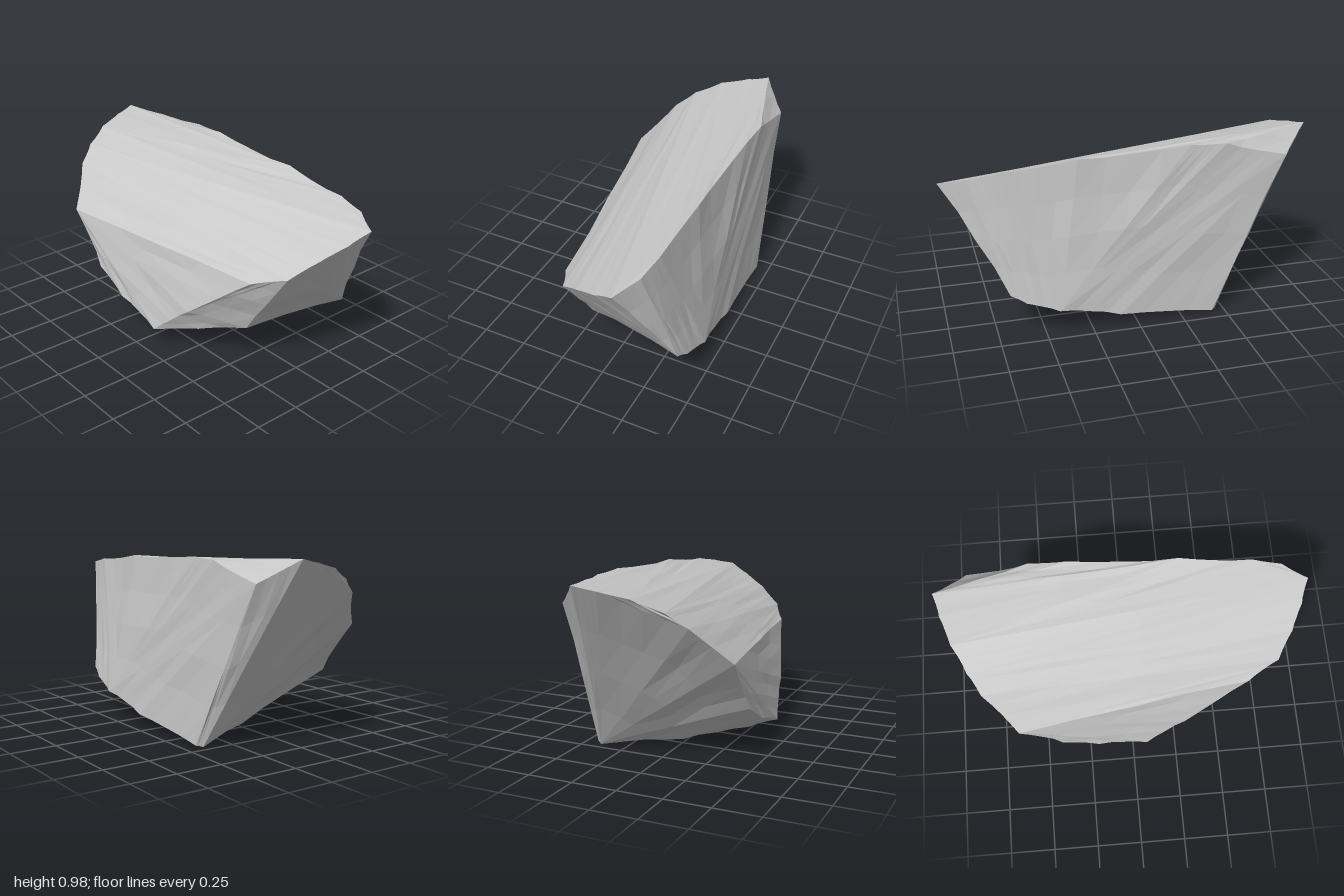
import * as THREE from 'three';
import { ConvexGeometry } from 'three/addons/geometries/ConvexGeometry.js';

// Corner points of the stone shard, grouped by the edge they follow
const edges = {
  leftRim: [[-1, 0.985, -0.22], [-0.97, 0.96, -0.1], [-0.92, 0.925, 0.05], [-0.85, 0.86, 0.19], [-0.79, 0.78, 0.29], [-0.62, 0.585, 0.455]],
  rightRim: [[1, 0.825, -0.22], [0.96, 0.765, -0.1], [0.9, 0.7, 0.03], [0.82, 0.61, 0.16], [0.65, 0.55, 0.25], [0.3, 0.28, 0.375]],
  topBack: [[0.86, 0.86, -0.3], [0.7, 0.888, -0.325], [0.3, 0.932, -0.345], [-0.3, 0.96, -0.36], [-0.5, 0.955, -0.367], [-0.84, 0.865, -0.368]],
  bottomBack: [[0.68, 0.24, -0.41], [0.6, 0.195, -0.43], [0.43, 0.14, -0.457], [0.1, 0.07, -0.45], [-0.43, 0.01, -0.43], [-0.455, 0.004, -0.4]],
  frontFoot: [[0.08, 0.098, 0.435], [-0.2, 0.19, 0.447], [-0.4, 0.3, 0.45], [-0.02, 0.066, 0.3], [-0.25, 0.024, 0]],
  rightFoot: [[0.54, 0.215, 0.17], [0.3, 0.15, 0.3]],
};

// Repeatable noise from a position, so shared corners stay joined
function noise(v) {
  const s = Math.sin(v.x * 127.1 + v.y * 311.7 + v.z * 74.7) * 43758.5453;
  return s - Math.floor(s);
}

// Split every triangle in four, pushing the new corners slightly inward
function chip(triangles, depth) {
  const centre = new THREE.Vector3(0, 0.5, 0);
  const mid = (a, b) => {
    const m = a.clone().add(b).multiplyScalar(0.5);
    const key = new THREE.Vector3(...m.toArray().map(n => Math.round(n * 1e4) / 1e4));
    const inward = centre.clone().sub(m).normalize();
    return m.addScaledVector(inward, depth * noise(key) * Math.min(1, a.distanceTo(b) * 3));
  };
  return triangles.flatMap(([a, b, c]) => {
    const ab = mid(a, b), bc = mid(b, c), ca = mid(c, a);
    return [[a, ab, ca], [ab, b, bc], [ca, bc, c], [ab, bc, ca]];
  });
}

export function createModel() {
  const group = new THREE.Group();
  group.name = 'stoneShard';
  const points = Object.values(edges).flat().map(p => new THREE.Vector3(...p));

  // Hull of the corners, read back as triangles
  const pos = new ConvexGeometry(points).getAttribute('position');
  let triangles = [];
  for (let i = 0; i < pos.count; i += 3) {
    triangles.push([0, 1, 2].map(k => new THREE.Vector3().fromBufferAttribute(pos, i + k)));
  }
  for (const depth of [0.014, 0.012]) triangles = chip(triangles, depth);

  // Faceted surface
  const geometry = new THREE.BufferGeometry().setFromPoints(triangles.flat());
  geometry.computeVertexNormals();
  const stone = new THREE.MeshStandardMaterial({ color: 0xc6c6c6, flatShading: true });
  stone.name = 'grey stone';
  const shard = new THREE.Mesh(geometry, stone);
  shard.name = 'shard';
  group.add(shard);
  return group;
}
